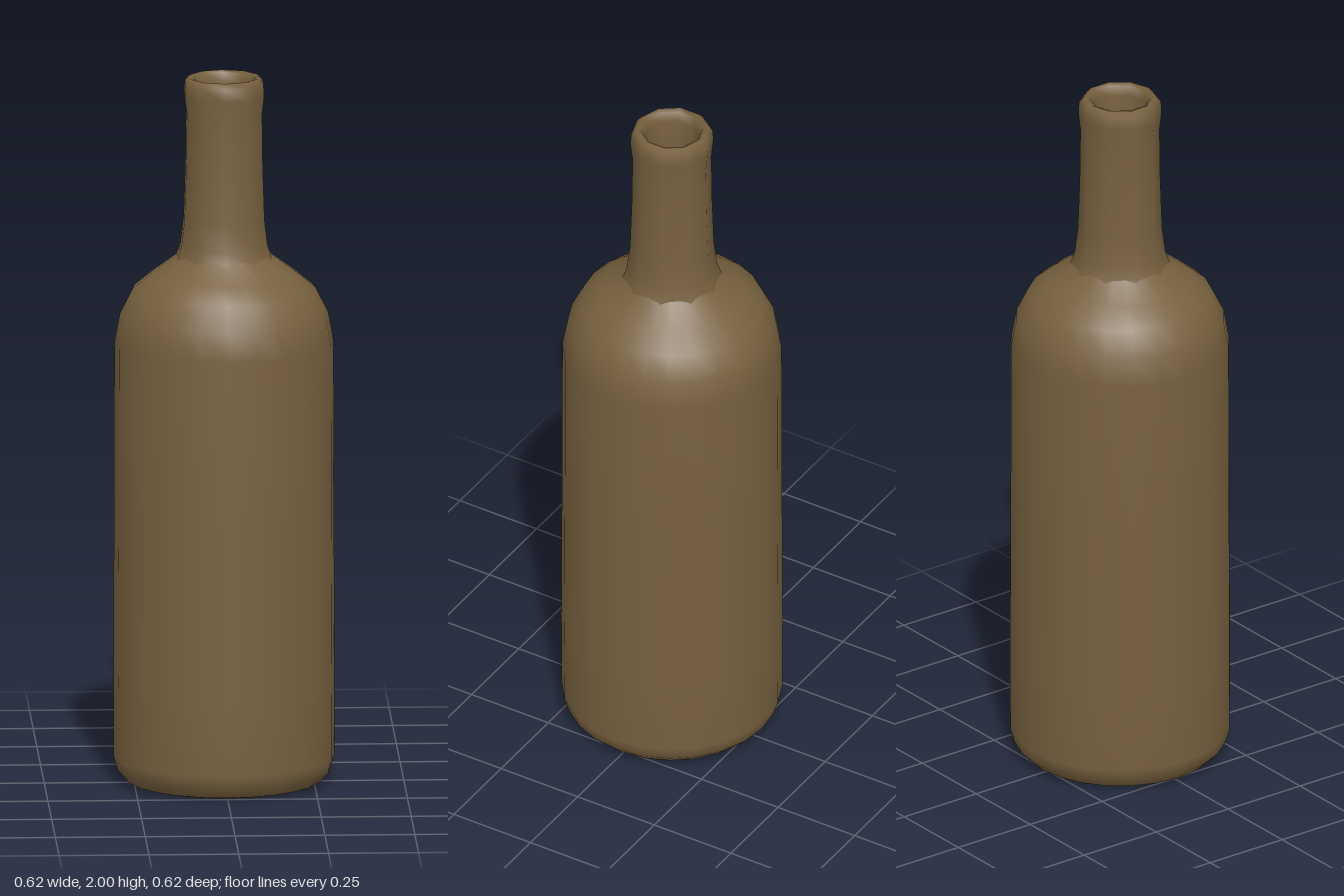
import * as THREE from 'three';

// Revolves a list of [radius, height] points around the y axis
function lathe(name, profile, sides, material) {
  const points = profile.map(([r, y]) => new THREE.Vector2(r, y));
  const mesh = new THREE.Mesh(new THREE.LatheGeometry(points, sides), material);
  mesh.name = name;
  return mesh;
}

export function createModel() {
  const group = new THREE.Group();
  group.name = 'bottle';
  const glass = new THREE.MeshStandardMaterial({ color: 0x77613f });
  glass.name = 'brown glass';

  // Hollowed base, straight wall and rounded shoulder
  group.add(lathe('body', [
    [0, 0.13], [0.05, 0.12], [0.13, 0.05], [0.19, 0.015], [0.235, 0],
    [0.268, 0.008], [0.295, 0.035], [0.307, 0.075], [0.308, 0.3], [0.306, 0.8],
    [0.305, 1.25], [0.29, 1.33], [0.255, 1.4], [0.2, 1.445], [0.13, 1.497], [0.112, 1.53],
  ], 24, glass));

  // Slim neck flowing over the rounded lip into the mouth
  group.add(lathe('neck', [
    [0.14, 1.488], [0.126, 1.525], [0.117, 1.6], [0.112, 1.75], [0.11, 1.9],
    [0.116, 1.95], [0.114, 1.985], [0.1, 2], [0.085, 1.995],
    [0.076, 1.97], [0.074, 1.9], [0.076, 1.5],
  ], 10, glass));

  // Inner wall and floor seen through the mouth
  group.add(lathe('interior', [
    [0.076, 1.5], [0.19, 1.41], [0.25, 1.34], [0.275, 1.24], [0.278, 0.1],
    [0.24, 0.04], [0.17, 0.07], [0.06, 0.15], [0, 0.16],
  ], 24, glass));

  return group;
}
